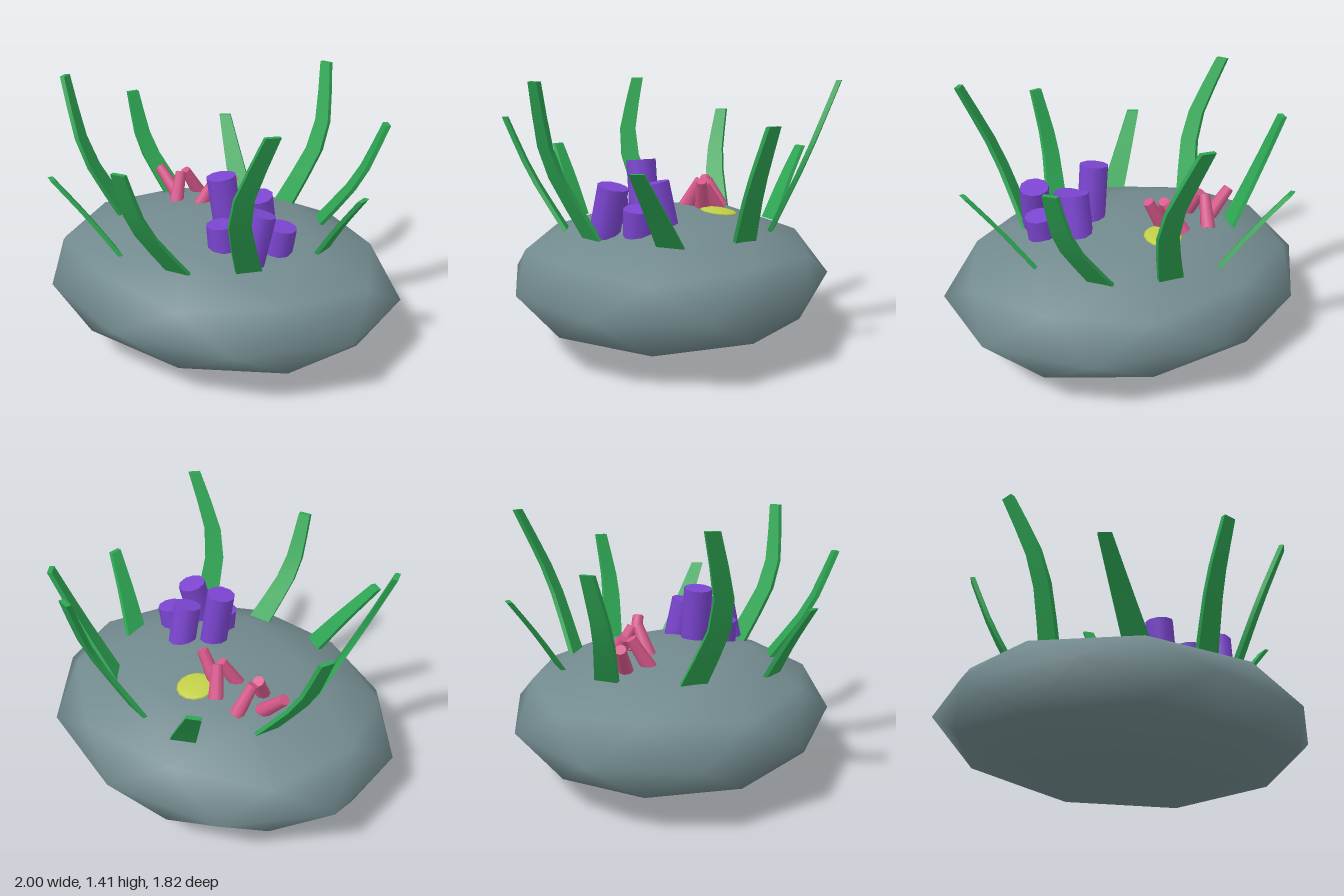
import * as THREE from 'three';
import { mergeVertices } from 'three/addons/utils/BufferGeometryUtils.js';

const mat = (name, color) => {
  const m = new THREE.MeshStandardMaterial({ color });
  m.name = name;
  return m;
};

export function createModel() {
  const model = new THREE.Group();
  model.name = 'reefRock';
  const stone = mat('stone grey', 0x728a8e);
  const green = mat('seaweed green', 0x2ea654);
  const purple = mat('sponge purple', 0x7b45d0);
  const pink = mat('coral pink', 0xd6588a);
  const yellow = mat('disc yellow', 0xc2cf48);

  const add = (name, geometry, material, parent = model) => {
    const mesh = new THREE.Mesh(geometry, material);
    mesh.name = name;
    parent.add(mesh);
    return mesh;
  };

  // Rock: smooth flattened icosphere with a vertex at each pole
  let rockGeo = new THREE.IcosahedronGeometry(1, 1);
  rockGeo.deleteAttribute('uv');
  rockGeo.deleteAttribute('normal');
  rockGeo.rotateZ(-Math.atan(2 / (1 + Math.sqrt(5))));
  rockGeo.scale(1.05, 0.355, 0.88);
  rockGeo.translate(0, 0.355, 0);
  rockGeo = mergeVertices(rockGeo, 1e-3);
  rockGeo.computeVertexNormals();
  add('rock', rockGeo, stone);

  // Seaweed: tapered strip bent along a curve; z points outward, x sideways
  const bladeGeometry = (points) => {
    const curve = new THREE.CatmullRomCurve3(points.map((p) => new THREE.Vector3(...p)));
    const geo = new THREE.BoxGeometry(1, 1, 1, 1, 5, 1);
    const pos = geo.attributes.position;
    for (let i = 0; i < pos.count; i++) {
      const t = pos.getY(i) + 0.5;
      const c = curve.getPoint(t);
      const width = 0.135 - 0.065 * t;
      pos.setXYZ(i, c.x + pos.getX(i) * width, c.y, c.z + pos.getZ(i) * 0.026);
    }
    geo.computeVertexNormals();
    return geo;
  };
  // Three blade heights, each with its own sideways bend
  const kinds = [
    { top: 1.01, r: [0.615, 0.75, 0.9], bend: [-0.065, 0, 0.065] },
    { top: 1.41, r: [0.565, 0.75, 0.9], bend: [-0.018, 0.08, -0.018] },
    { top: 1.21, r: [0.575, 0.765, 0.895], bend: [-0.06, 0.04, 0.05] },
  ];
  const signs = [1, 1, 1, 1, -1, -1, -1, 1, 1];
  signs.forEach((s, i) => {
    const k = kinds[i % 3];
    const base = 0.605;
    const ys = [base, (base + k.top) / 2, k.top];
    const blade = add('seaweedBlade', bladeGeometry(ys.map((y, j) => [-s * k.bend[j], y, k.r[j]])), green);
    blade.rotation.y = Math.PI / 2 - (i * 40 * Math.PI) / 180;
  });

  // Straight tube between two points
  const rod = (name, a, b, rBottom, rTop, sides, material, parent) => {
    const from = new THREE.Vector3(...a);
    const to = new THREE.Vector3(...b);
    const dir = to.clone().sub(from);
    const mesh = add(name, new THREE.CylinderGeometry(rTop, rBottom, dir.length(), sides), material, parent);
    mesh.position.copy(from).add(to).multiplyScalar(0.5);
    mesh.quaternion.setFromUnitVectors(new THREE.Vector3(0, 1, 0), dir.normalize());
  };

  // Ring of tube sponges
  const sponges = new THREE.Group();
  sponges.name = 'tubeSponges';
  model.add(sponges);
  [
    [[0.46, 0.64, 0.115], [0.48, 0.78, 0.11]],
    [[0.41, 0.63, 0.3], [0.44, 0.885, 0.245]],
    [[0.23, 0.64, 0.275], [0.22, 0.785, 0.28]],
    [[0.16, 0.65, 0.12], [0.12, 0.985, 0.145]],
    [[0.3, 0.65, 0.005], [0.295, 0.885, 0.055]],
  ].forEach(([a, b]) => rod('tubeSponge', a, b, 0.08, 0.08, 10, purple, sponges));

  // Two clumps of leaning coral branches
  [
    [
      [[-0.36, 0.65, -0.28], [-0.395, 0.81, -0.19]],
      [[-0.36, 0.65, -0.06], [-0.395, 0.81, -0.15]],
      [[-0.44, 0.65, -0.17], [-0.58, 0.8, -0.17]],
    ],
    [
      [[-0.205, 0.66, -0.265], [-0.145, 0.815, -0.185]],
      [[-0.205, 0.66, -0.085], [-0.145, 0.815, -0.155]],
      [[-0.13, 0.67, -0.175], [-0.03, 0.85, -0.175]],
    ],
  ].forEach((branches) => {
    const clump = new THREE.Group();
    clump.name = 'coralClump';
    model.add(clump);
    branches.forEach(([a, b]) => rod('coralBranch', a, b, 0.042, 0.03, 8, pink, clump));
  });

  // Low yellow disc lying on the rock
  const disc = add('yellowDisc', new THREE.SphereGeometry(0.105, 14, 8), yellow);
  disc.scale.y = 0.16;
  disc.position.set(-0.065, 0.676, -0.27);
  disc.rotation.x = -0.12;

  return model;
}
